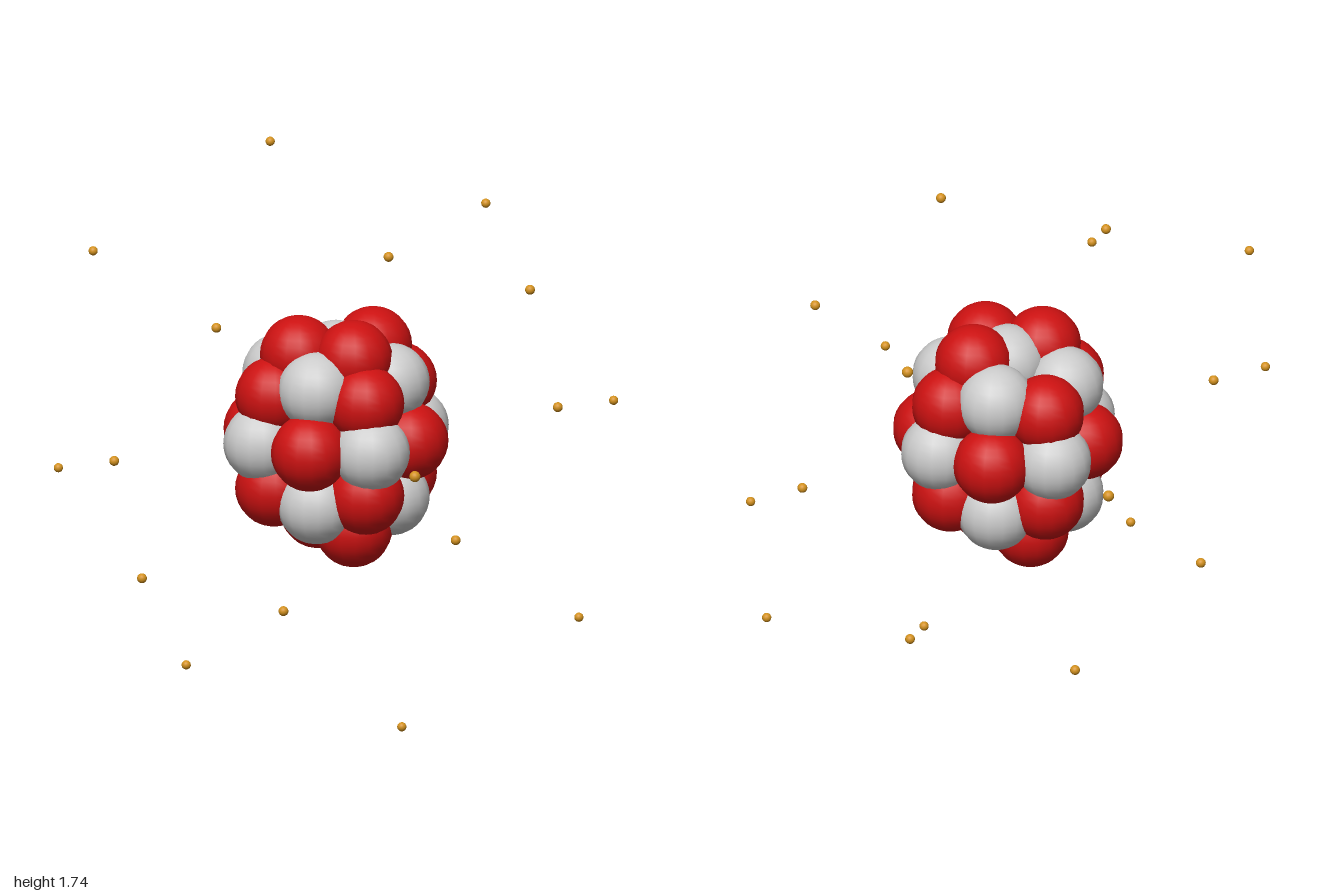
import * as THREE from 'three';

const RED = new THREE.MeshStandardMaterial({ color: 0xcc1111 });
const GREY = new THREE.MeshStandardMaterial({ color: 0xcccccc });
const GOLD = new THREE.MeshStandardMaterial({ color: 0xd4921e });

// All sign combinations of a point, without duplicates
function mirrored([x, y, z]) {
  const signs = (v) => (v === 0 ? [0] : [v, -v]);
  const out = [];
  for (const a of signs(x)) for (const b of signs(y)) for (const c of signs(z)) out.push([a, b, c]);
  return out;
}

function addBalls(parent, name, geometry, material, points) {
  points.forEach((p, i) => {
    const ball = new THREE.Mesh(geometry, material);
    ball.name = `${name}${i + 1}`;
    ball.position.set(...p);
    parent.add(ball);
  });
}

// Ring of electrons in the horizontal plane, tilted about x
function electronShell(name, count, radius, size, tilt, start) {
  const shell = new THREE.Group();
  shell.name = name;
  const points = [];
  for (let i = 0; i < count; i++) {
    const a = start + (i / count) * Math.PI * 2;
    points.push([radius * Math.cos(a), 0, radius * Math.sin(a)]);
  }
  addBalls(shell, 'electron', new THREE.SphereGeometry(size, 16, 12), GOLD, points);
  shell.rotation.x = tilt;
  return shell;
}

export function createModel() {
  const atom = new THREE.Group();
  atom.name = 'atom';
  atom.position.y = 0.868;

  // Nucleus: overlapping protons and neutrons
  const nucleus = new THREE.Group();
  nucleus.name = 'nucleus';
  const nucleon = new THREE.SphereGeometry(0.125, 16, 16);
  const protons = [
    [0, 0, 0],
    ...mirrored([0.177, 0, 0.177]),
    ...mirrored([0, 0.153, 0.22]),
    ...mirrored([0.22, 0.153, 0]),
    // top cap of three, bottom cap of two
    ...mirrored([0.132, 0, 0]).map(([x, , z]) => [x, 0.281, z]),
    [0, 0.281, 0.132],
    ...mirrored([0, 0, 0.132]).map(([x, , z]) => [x, -0.281, z]),
  ];
  const neutrons = [
    ...mirrored([0.262, 0, 0]),
    ...mirrored([0, 0.25, 0]),
    ...mirrored([0, 0, 0.262]),
    ...mirrored([0.132, 0.19, 0.132]),
    ...mirrored([0.07, 0.07, 0.07]), // inner core
  ];
  addBalls(nucleus, 'proton', nucleon, RED, protons);
  addBalls(nucleus, 'neutron', nucleon, GREY, neutrons);
  atom.add(nucleus);

  // Electron shells
  const tilt = Math.PI / 3;
  atom.add(
    electronShell('innerShell', 2, 0.59, 0.018, 0, Math.PI / 2),
    electronShell('middleShell', 8, 0.787, 0.016, -tilt, 0),
    electronShell('outerShell', 8, 0.985, 0.015, tilt, 0),
  );

  const model = new THREE.Group();
  model.name = 'atomModel';
  model.add(atom);
  return model;
}
